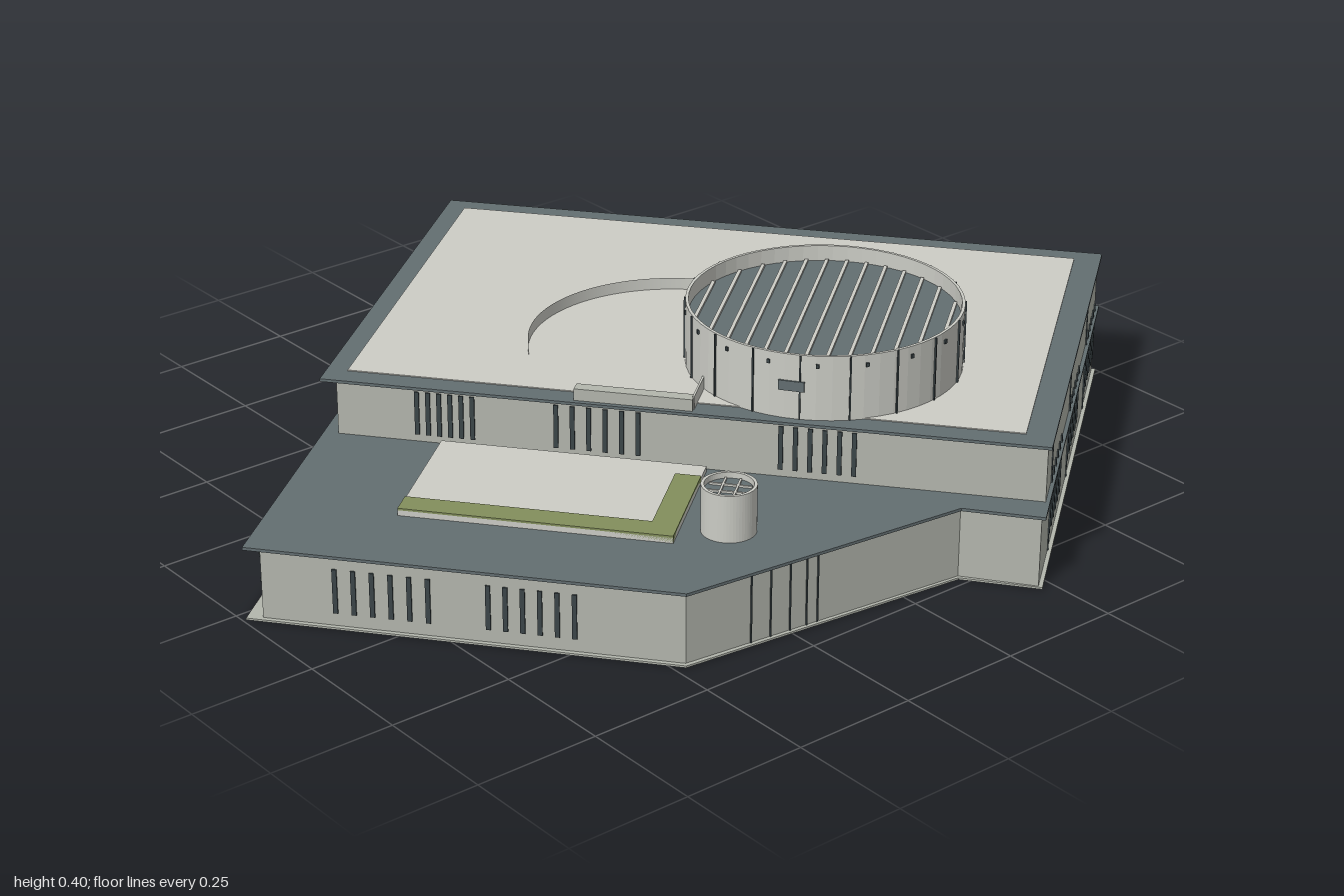
import * as THREE from 'three';

const material = (name, color, side = THREE.FrontSide) => {
  const m = new THREE.MeshStandardMaterial({ color, side });
  m.name = name;
  return m;
};

export function createModel() {
  const wallMat = material('wall grey', 0xb3b6ad);
  const paleMat = material('pale roof', 0xcdcdc6);
  const shellMat = material('pale shell', 0xcbccc5, THREE.DoubleSide);
  const slateMat = material('slate', 0x636e71);
  const darkMat = material('dark metal', 0x3b4548);
  const greenMat = material('planting green', 0x838f5c);
  const brownMat = material('brown', 0x8a5a25);

  // Plan frame: x runs along the long walls, z across towards the low wing
  const plan = new THREE.Group();
  plan.name = 'building';
  plan.position.set(0.115, 0, -0.862);
  plan.rotation.y = -0.896;

  const add = (name, geo, mat, x = 0, y = 0, z = 0, parent = plan) => {
    const m = new THREE.Mesh(geo, mat);
    m.name = name;
    m.position.set(x, y, z);
    parent.add(m);
    return m;
  };
  // Box given by its min and max on each axis
  const block = (name, mat, x0, x1, y0, y1, z0, z1) =>
    add(name, new THREE.BoxGeometry(x1 - x0, y1 - y0, z1 - z0), mat,
      (x0 + x1) / 2, (y0 + y1) / 2, (z0 + z1) / 2);
  // Vertical prism over a plan outline
  const prism = (name, mat, pts, y0, y1) => {
    const shape = new THREE.Shape(pts.map(([x, z]) => new THREE.Vector2(x, -z)));
    const geo = new THREE.ExtrudeGeometry(shape, { depth: y1 - y0, bevelEnabled: false });
    geo.rotateX(-Math.PI / 2);
    return add(name, geo, mat, 0, y0, 0);
  };

  // Floor plates and storey walls
  const plateLow = [[0, 0], [1.41, 0], [1.41, 0.994], [1.252, 0.989], [0.823, 1.421], [0, 1.421]];
  const wallLow = [[0.03, 0.006], [1.402, 0.006], [1.402, 0.99], [1.25, 0.982], [0.82, 1.412], [0.03, 1.412]];
  prism('groundPlate', wallMat, plateLow, 0, 0.004);
  prism('lowerWalls', wallMat, wallLow, 0.004, 0.144);
  prism('wingRoof', slateMat, plateLow, 0.144, 0.15);
  block('upperWalls', wallMat, 0.03, 1.402, 0.15, 0.262, 0.006, 0.93);
  block('roofPlate', slateMat, 0, 1.41, 0.262, 0.268, 0, 0.94);
  block('roofSurface', paleMat, 0.042, 1.356, 0.268, 0.27, 0.041, 0.894);
  block('undersideStrip', brownMat, 0.06, 1.05, -0.001, 0.001, 0.98, 1.01);

  // Slit windows: groups of thin upright strips along a wall
  const slits = (name, axis, wall, from, to, y0, y1, count) => {
    for (let i = 0; i < count; i++) {
      const p = from + ((to - from) * i) / (count - 1), w = 0.0045;
      if (axis === 'x') block(name, darkMat, p - w, p + w, y0, y1, wall - 0.002, wall + 0.003);
      else block(name, darkMat, wall - 0.002, wall + 0.003, y0, y1, p - w, p + w);
    }
  };
  [[0.19, 0.3], [0.465, 0.625], [0.9, 1.04]].forEach(([a, b]) =>
    slits('upperSlitWindow', 'x', 0.93, a, b, 0.165, 0.255, 6));
  [[0.17, 0.345], [0.457, 0.617]].forEach(([a, b]) =>
    slits('wingSlitWindow', 'x', 1.412, a, b, 0.03, 0.12, 6));
  [[0.667, 0.843], [0.347, 0.523], [0.03, 0.203]].forEach(([a, b]) => {
    slits('endSlitWindow', 'z', 1.402, a, b, 0.04, 0.165, 6);
    block('endPanelJoint', darkMat, 1.4, 1.404, 0.004, 0.262, b - 0.002, b + 0.002);
  });

  // Tall joints and glazing on the long rear wall
  for (let i = 0; i < 10; i++) {
    const x = 0.33 + i * 0.047;
    block('rearJoint', darkMat, x - 0.003, x + 0.003, 0.004, 0.262, 0.002, 0.008);
    if (i % 3 === 1) block('rearGlazing', slateMat, x + 0.006, x + 0.018, 0.004, 0.262, 0.003, 0.008);
  }

  // Fine joints on the angled wing wall
  const start = new THREE.Vector2(0.82, 1.412), end = new THREE.Vector2(1.25, 0.982);
  [0.23, 0.3, 0.37, 0.43, 0.47].forEach((t) => {
    const p = start.clone().lerp(end, t);
    add('wingJoint', new THREE.BoxGeometry(0.003, 0.14, 0.004), darkMat, p.x, 0.074, p.y).rotation.y = Math.PI / 4;
  });

  // Staggered louvres on the entrance side
  const louvres = (y0, length, rows) => {
    for (let r = 0; r < rows; r++) {
      const y = y0 + r * 0.026;
      for (let z = 0.02 + (r % 2) * 0.05; z + 0.075 < length; z += 0.1)
        block('louvre', darkMat, 0.022, 0.031, y, y + 0.008, z, z + 0.075);
    }
  };
  louvres(0.068, 1.41, 3);
  louvres(0.162, 0.93, 4);
  [[0.11, 0.42], [0.5, 0.78]].forEach(([a, b]) =>
    block('entrancePlinth', wallMat, 0.006, 0.03, 0.004, 0.06, a, b));

  // Wing terrace with an L-shaped planting bed
  block('terrace', paleMat, 0.24, 0.76, 0.15, 0.161, 0.94, 1.24);
  block('plantingLong', greenMat, 0.24, 0.76, 0.15, 0.165, 1.19, 1.24);
  block('plantingShort', greenMat, 0.71, 0.76, 0.15, 0.165, 0.99, 1.19);

  // Open rim tube with a sunken floor
  const tube = (r, h, parent) =>
    add('shell', new THREE.LatheGeometry([[r, 0], [r, h], [r - 0.006, h], [r - 0.006, 0]]
      .map(([x, y]) => new THREE.Vector2(x, y)), 56).toNonIndexed(), shellMat, 0, 0, 0, parent);

  // Round roof drum
  const drum = new THREE.Group();
  drum.name = 'drum';
  drum.position.set(0.933, 0.268, 0.651);
  plan.add(drum);
  const R = 0.27;
  tube(R, 0.132, drum).geometry.computeVertexNormals();
  add('drumRoof', new THREE.CylinderGeometry(R - 0.004, R - 0.004, 0.01, 56), slateMat, 0, 0.095, 0, drum);
  for (let x = -0.24; x < 0.25; x += 0.04) {
    const half = Math.sqrt((R - 0.01) ** 2 - x * x);
    add('roofSlat', new THREE.BoxGeometry(0.007, 0.006, half * 2), paleMat, x, 0.102, 0, drum);
  }
  const onDrum = (name, mat, a, y, w, h) => {
    add(name, new THREE.BoxGeometry(w, h, 0.006), mat,
      Math.sin(a) * R, y, Math.cos(a) * R, drum).rotation.y = a;
  };
  for (let i = 0; i < 18; i++) {
    const a = (i / 18) * Math.PI * 2;
    onDrum('drumJoint', darkMat, a, 0.066, 0.003, 0.13);
    onDrum('drumVent', darkMat, a + 0.12, 0.112, 0.006, 0.008);
  }
  onDrum('drumWindow', slateMat, -0.06, 0.068, 0.05, 0.02);

  // Low curved screen on the roof, closed by a straight chord
  const arc = new THREE.CylinderGeometry(0.283, 0.283, 0.027, 40, 1, true, Math.PI / 2 + 0.36, Math.PI * 1.0);
  const screen = add('curvedScreen', arc, shellMat, 0.632, 0.281, 0.653);
  screen.rotation.y = 0;
  block('screenChord', shellMat, 0.728, 0.732, 0.268, 0.295, 0.39, 0.92);
  block('screenEdge', wallMat, 0.5, 0.73, 0.268, 0.292, 0.905, 0.93);

  // Small vent tower on the wing
  const vent = new THREE.Group();
  vent.name = 'ventTower';
  vent.position.set(0.848, 0.15, 1.166);
  plan.add(vent);
  tube(0.052, 0.095, vent).geometry.computeVertexNormals();
  add('ventLid', new THREE.CylinderGeometry(0.047, 0.047, 0.006, 32), slateMat, 0, 0.08, 0, vent);
  for (const s of [-1, 1]) {
    add('ventBar', new THREE.BoxGeometry(0.004, 0.006, 0.08), paleMat, s * 0.014, 0.084, 0, vent);
    add('ventCrossBar', new THREE.BoxGeometry(0.08, 0.006, 0.004), paleMat, 0, 0.084, s * 0.014, vent);
  }

  const group = new THREE.Group();
  group.name = 'arenaBuilding';
  group.add(plan);
  return group;
}
